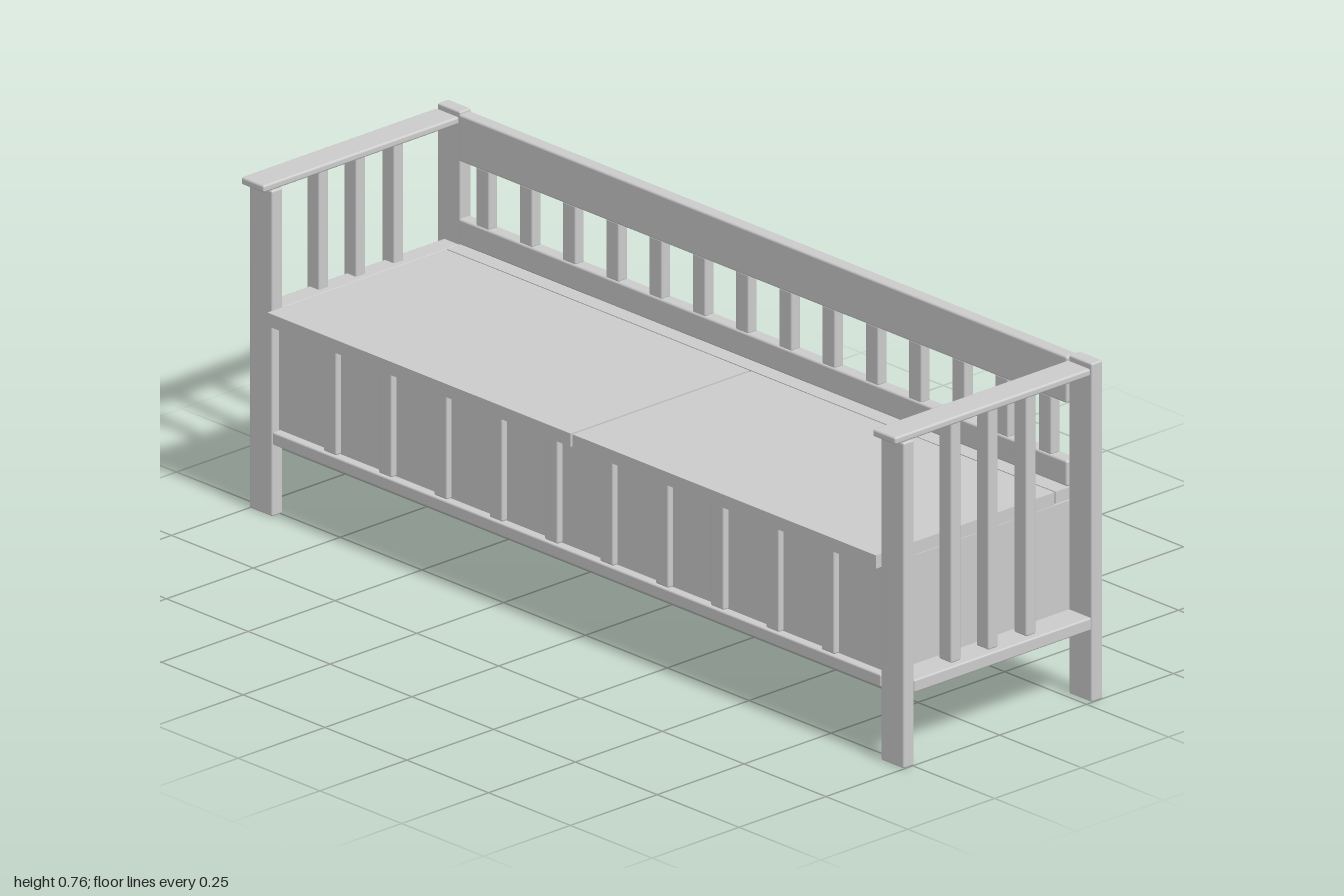
import * as THREE from 'three';
import { RoundedBoxGeometry } from 'three/addons/geometries/RoundedBoxGeometry.js';

const material = new THREE.MeshStandardMaterial({ color: 0xcccccc });

export function createModel() {
  const bench = new THREE.Group();
  bench.name = 'storageBench';

  // Box between two limits on each axis; r rounds the edges.
  function beam(name, [x0, x1], [y0, y1], [z0, z1], r = 0) {
    const size = [x1 - x0, y1 - y0, Math.abs(z1 - z0)];
    const geometry = r ? new RoundedBoxGeometry(...size, 2, r) : new THREE.BoxGeometry(...size);
    const mesh = new THREE.Mesh(geometry, material);
    mesh.position.set((x0 + x1) / 2, (y0 + y1) / 2, (z0 + z1) / 2);
    mesh.name = name;
    bench.add(mesh);
  }

  const inner = [-0.93, 0.93];
  const frontX = [-0.276, -0.245];
  const backX = [0.265, 0.297];
  const railY = [0.163, 0.192];

  // Two matching ends: posts, armrest, bottom rail, slats and panel
  for (const s of [-1, 1]) {
    const z = [s * 0.93, s * 1.0];
    beam('frontPost', frontX, [0, 0.736], z, 0.004);
    beam('backPost', backX, [0, 0.765], z, 0.004);
    beam('armrest', [-0.3, 0.263], [0.738, 0.755], z, 0.005);
    beam('endBottomRail', [-0.245, 0.265], railY, z, 0.004);
    for (const x of [-0.111, -0.004, 0.105]) {
      beam('endSlat', [x - 0.014, x + 0.014], [0.192, 0.738], [s * 0.947, s * 0.985], 0.004);
    }
    beam('endPanel', [-0.25, 0.264], [0.18, 0.437], [s * 0.915, s * 0.932]);
    // Hinged seat lid, one half per side
    beam('seatLid', [-0.29, 0.224], [0.436, 0.466], [s * 0.003, s * 0.93]);
  }

  // Rail at seat height on the rear end
  beam('endSeatRail', [-0.245, 0.265], [0.437, 0.466], [-0.978, -0.93], 0.004);

  // Front of the chest with battens
  beam('frontBottomRail', frontX, railY, inner, 0.004);
  beam('frontPanel', [-0.256, -0.243], [0.18, 0.437], inner);
  for (let i = 0; i < 10; i++) {
    const z = -0.93 + (i + 1) * 1.86 / 11;
    beam('frontBatten', [-0.27, -0.25], [0.192, 0.437], [z - 0.02, z + 0.02], 0.004);
  }

  // Chest floor and back
  beam('chestFloor', [-0.26, 0.28], [0.163, 0.178], inner);
  beam('backPanel', [0.262, 0.275], [0.18, 0.437], inner);
  beam('backBottomRail', [0.262, 0.29], railY, inner, 0.004);
  beam('hingeStrip', [0.227, 0.283], [0.439, 0.466], inner);

  // Backrest
  beam('backLowerRail', [0.259, 0.291], [0.468, 0.526], inner, 0.005);
  beam('backTopRail', [0.259, 0.291], [0.656, 0.762], inner, 0.005);
  for (let i = 0; i < 14; i++) {
    const z = -0.859 + i * 1.718 / 13;
    beam('backSlat', [0.262, 0.288], [0.524, 0.658], [z - 0.02, z + 0.02], 0.004);
  }

  return bench;
}
